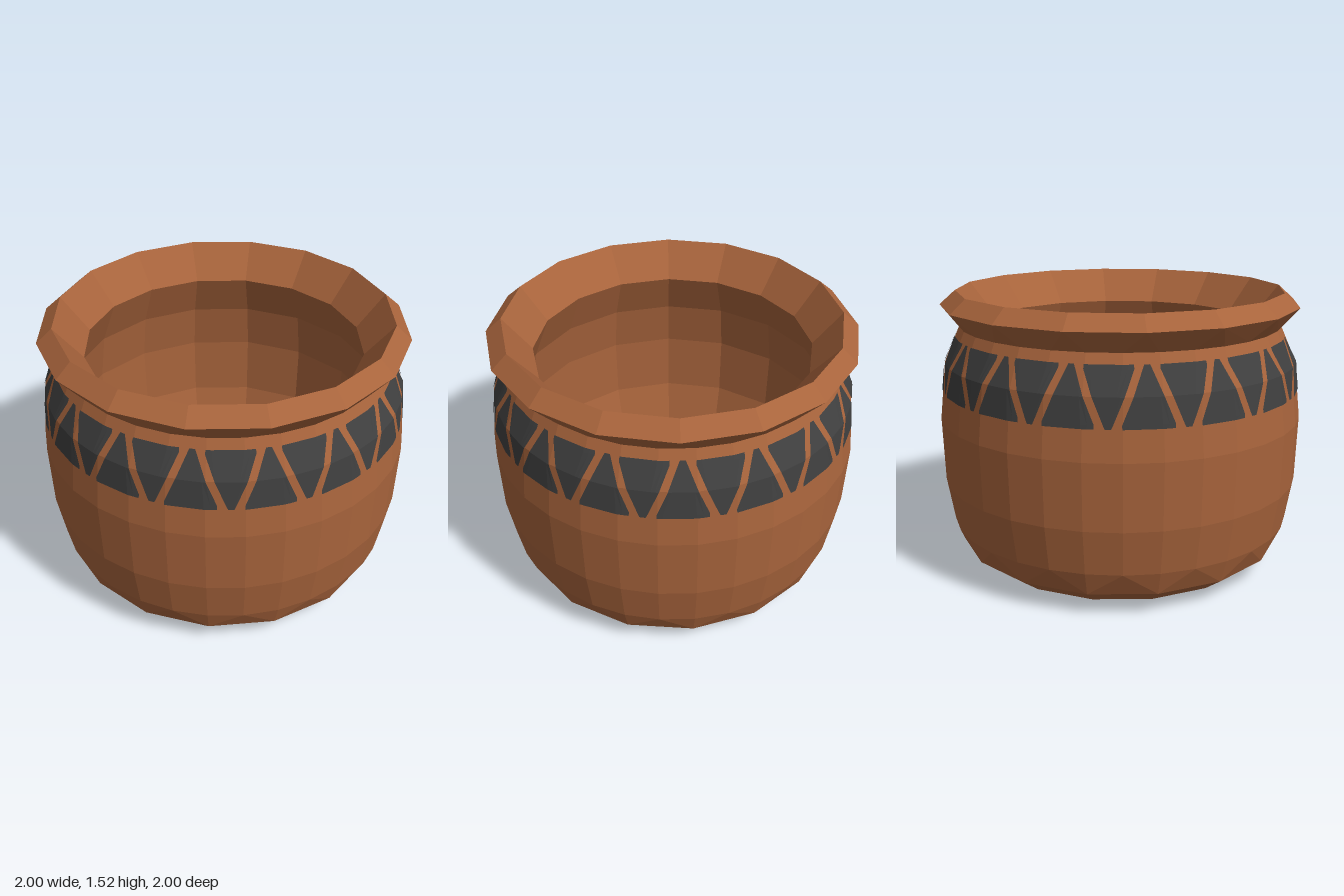
import * as THREE from 'three';

const SIDES = 32;
const TAU = Math.PI * 2;

const point = (r, y, a) => [r * Math.sin(a), y, r * Math.cos(a)];

// Rings are [radius, height, sides, twist in degrees]
function ringPoint([r, y, n, twist = 0], i) {
  return point(r, y, ((i % n) / n) * TAU + (twist * Math.PI) / 180);
}

function flatGeometry(positions) {
  const g = new THREE.BufferGeometry();
  g.setAttribute('position', new THREE.Float32BufferAttribute(positions, 3));
  g.computeVertexNormals(); // unshared corners give flat facets
  return g;
}

// Stitch successive rings together, even when their side counts differ
function stitchRings(rings) {
  const out = [];
  for (let k = 0; k < rings.length - 1; k++) {
    const A = rings[k], B = rings[k + 1];
    let i = 0, j = 0;
    while (i < A[2] || j < B[2]) {
      const stepA = j >= B[2] || (i < A[2] && (i + 0.5) / A[2] <= (j + 0.5) / B[2]);
      if (stepA) {
        if (A[0] > 0) out.push(...ringPoint(A, i), ...ringPoint(A, i + 1), ...ringPoint(B, j));
        i++;
      } else {
        if (B[0] > 0) out.push(...ringPoint(A, i), ...ringPoint(B, j + 1), ...ringPoint(B, j));
        j++;
      }
    }
  }
  return flatGeometry(out);
}

const WALL = [
  [0.905, 0.12, 16], [0.95, 0.25, SIDES], [0.99, 0.49, SIDES], [1.0, 0.84, SIDES],
  [0.965, 1.15, SIDES], [0.88, 1.34, SIDES],
];

// Point just outside the faceted wall
function onWall(a, y) {
  let k = 0;
  while (k < WALL.length - 2 && y > WALL[k + 1][1]) k++;
  const [r0, y0] = WALL[k], [r1, y1] = WALL[k + 1];
  const r = r0 + ((r1 - r0) * (y - y0)) / (y1 - y0);
  const step = TAU / SIDES;
  const rel = a - (Math.floor(a / step) + 0.5) * step;
  return point((r * Math.cos(step / 2)) / Math.cos(rel) + 0.005, y, a);
}

// One painted triangle with blunt tip, wrapped over the wall
function paintedTriangle(center, pointsUp) {
  const rows = [1.0, 1.02, 1.15, 1.27, 1.29], cols = 8, out = [];
  const halfWidth = (y) => {
    const t = (y - 1.0) / 0.29;
    const w = THREE.MathUtils.lerp(0.138, 0.016, pointsUp ? t : 1 - t);
    return y === 1.0 || y === 1.29 ? w * 0.93 : w; // softened corners
  };
  const at = (c, y) => onWall(center + (c / cols * 2 - 1) * halfWidth(y), y);
  for (let k = 0; k < rows.length - 1; k++) {
    for (let c = 0; c < cols; c++) {
      const a = at(c, rows[k]), b = at(c + 1, rows[k]);
      const d = at(c, rows[k + 1]), e = at(c + 1, rows[k + 1]);
      out.push(...a, ...b, ...e, ...a, ...e, ...d);
    }
  }
  return flatGeometry(out);
}

export function createModel() {
  const clay = new THREE.MeshStandardMaterial({ color: 0xa8643c });
  clay.name = 'clay';
  const charcoal = new THREE.MeshStandardMaterial({ color: 0x404040 });
  charcoal.name = 'charcoal paint';

  const pot = new THREE.Group();
  pot.name = 'clayPot';
  const add = (name, geometry, material, parent = pot) => {
    const mesh = new THREE.Mesh(geometry, material);
    mesh.name = name;
    parent.add(mesh);
  };

  // Flat foot with two bevels
  add('base', stitchRings([[0, 0, 16], [0.64, 0, 16], [0.79, 0.035, 16], WALL[0]]), clay);

  // Bulging outer wall
  add('outerWall', stitchRings(WALL), clay);

  // Flared lip, rising outward and folding back into the neck
  add('rim', stitchRings([
    WALL[WALL.length - 1], [0.98, 1.45, 16, -5], [0.895, 1.525, 16, -5], [0.745, 1.34, 16, -5],
  ]), clay);

  // Hollow inside
  add('innerWall', stitchRings([
    [0.745, 1.34, 16, -5], [0.84, 1.1, 16, -5], [0.88, 0.84, 16, -5], [0.87, 0.5, 16, -5],
    [0.79, 0.2, 16, -5], [0.6, 0.12, 16, -5], [0, 0.12, 16, -5],
  ]), clay);

  // Painted zigzag band
  const band = new THREE.Group();
  band.name = 'paintedBand';
  pot.add(band);
  const period = TAU / 16, start = (-4.1 * Math.PI) / 180;
  for (let i = 0; i < 16; i++) {
    add('upTriangle', paintedTriangle(start + i * period, true), charcoal, band);
    add('downTriangle', paintedTriangle(start + (i + 0.5) * period, false), charcoal, band);
  }
  return pot;
}
